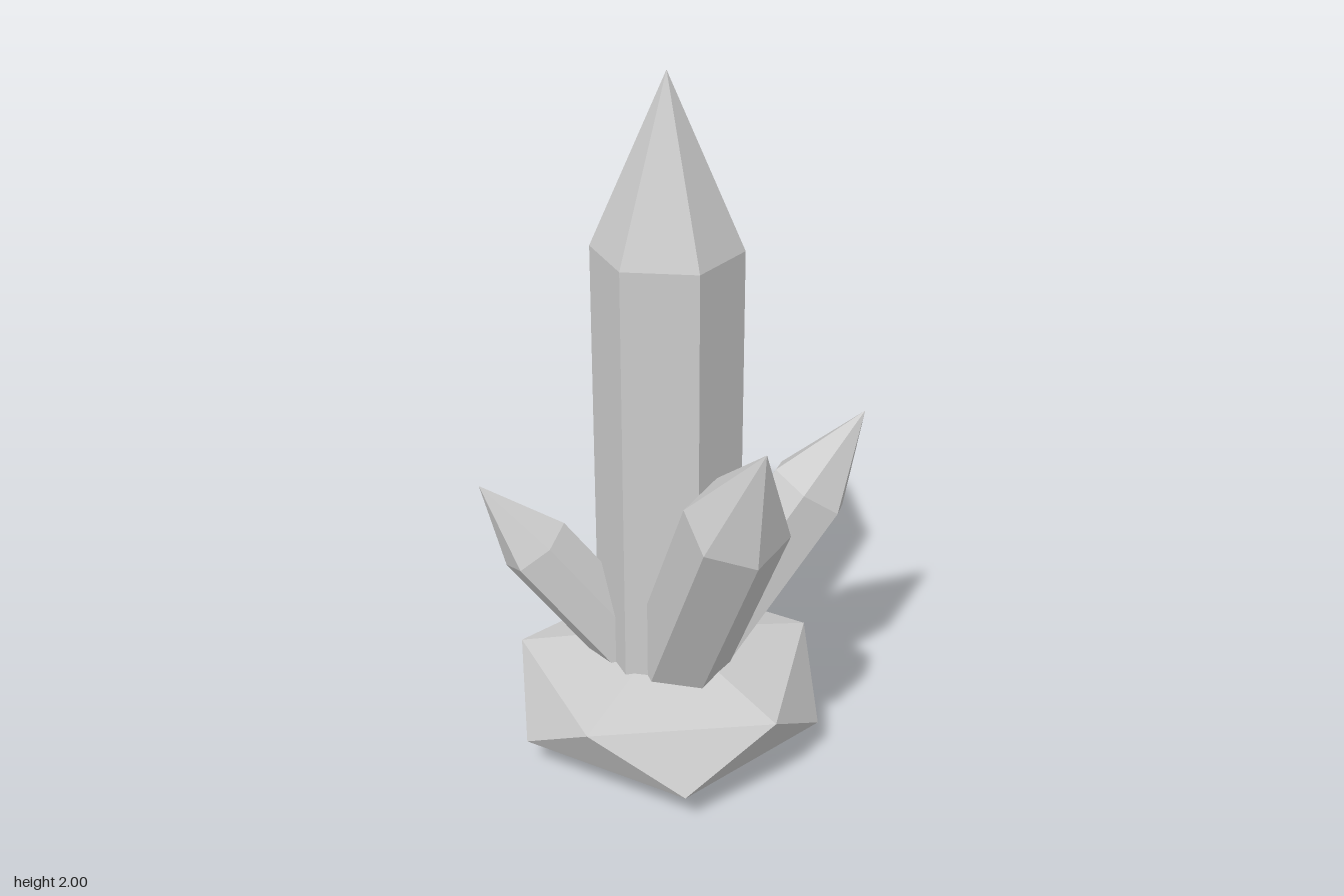
import * as THREE from 'three';
import { ConvexGeometry } from 'three/addons/geometries/ConvexGeometry.js';

const ROOT = new THREE.Vector3(-0.035, 0.185, -0.01);

// Squashed icosahedron standing on one point
function rockGeometry(radius, halfHeight) {
  const points = [new THREE.Vector3(0, halfHeight, 0), new THREE.Vector3(0, -halfHeight, 0)];
  for (let i = 0; i < 10; i++) {
    const a = (i * Math.PI) / 5;
    const y = (i % 2 ? -1 : 1) * halfHeight * 0.447;
    points.push(new THREE.Vector3(Math.cos(a) * radius, y, Math.sin(a) * radius));
  }
  return new ConvexGeometry(points);
}

// Six-sided prism with a pointed end, growing along +y
function crystalGeometry(radius, length, shoulder) {
  const profile = [[0, 0], [radius, 0], [radius, length * shoulder], [0, length]]
    .map(([x, y]) => new THREE.Vector2(x, y));
  const geometry = new THREE.LatheGeometry(profile, 6).toNonIndexed();
  geometry.computeVertexNormals();
  return geometry;
}

export function createModel() {
  const group = new THREE.Group();
  group.name = 'crystalCluster';
  const stone = new THREE.MeshStandardMaterial({ color: 0xcccccc, flatShading: true });
  stone.name = 'paleGrey';

  const add = (name, geometry) => {
    const mesh = new THREE.Mesh(geometry, stone);
    mesh.name = name;
    mesh.position.copy(ROOT);
    group.add(mesh);
    return mesh;
  };

  add('rockBase', rockGeometry(0.44, 0.185));

  // name, tip position, radius, fraction of the length where the point begins
  const crystals = [
    ['mainCrystal', [-0.035, 2, -0.01], 0.203, 0.741],
    ['frontCrystal', [-0.035, 1.21, 0.58], 0.141, 0.737],
    ['backCrystal', [0.17, 1.325, -0.58], 0.158, 0.737],
    ['leftCrystal', [0.52, 0.995, 0.09], 0.122, 0.725],
    ['rightCrystal', [-0.52, 0.85, -0.19], 0.104, 0.716],
  ];
  for (const [name, tip, radius, shoulder] of crystals) {
    const axis = new THREE.Vector3(...tip).sub(ROOT);
    const mesh = add(name, crystalGeometry(radius, axis.length(), shoulder));
    // Turn towards the tip, then lean outwards
    mesh.rotation.order = 'YXZ';
    mesh.rotation.y = Math.atan2(axis.x, axis.z);
    mesh.rotation.x = Math.atan2(Math.hypot(axis.x, axis.z), axis.y);
  }
  return group;
}
